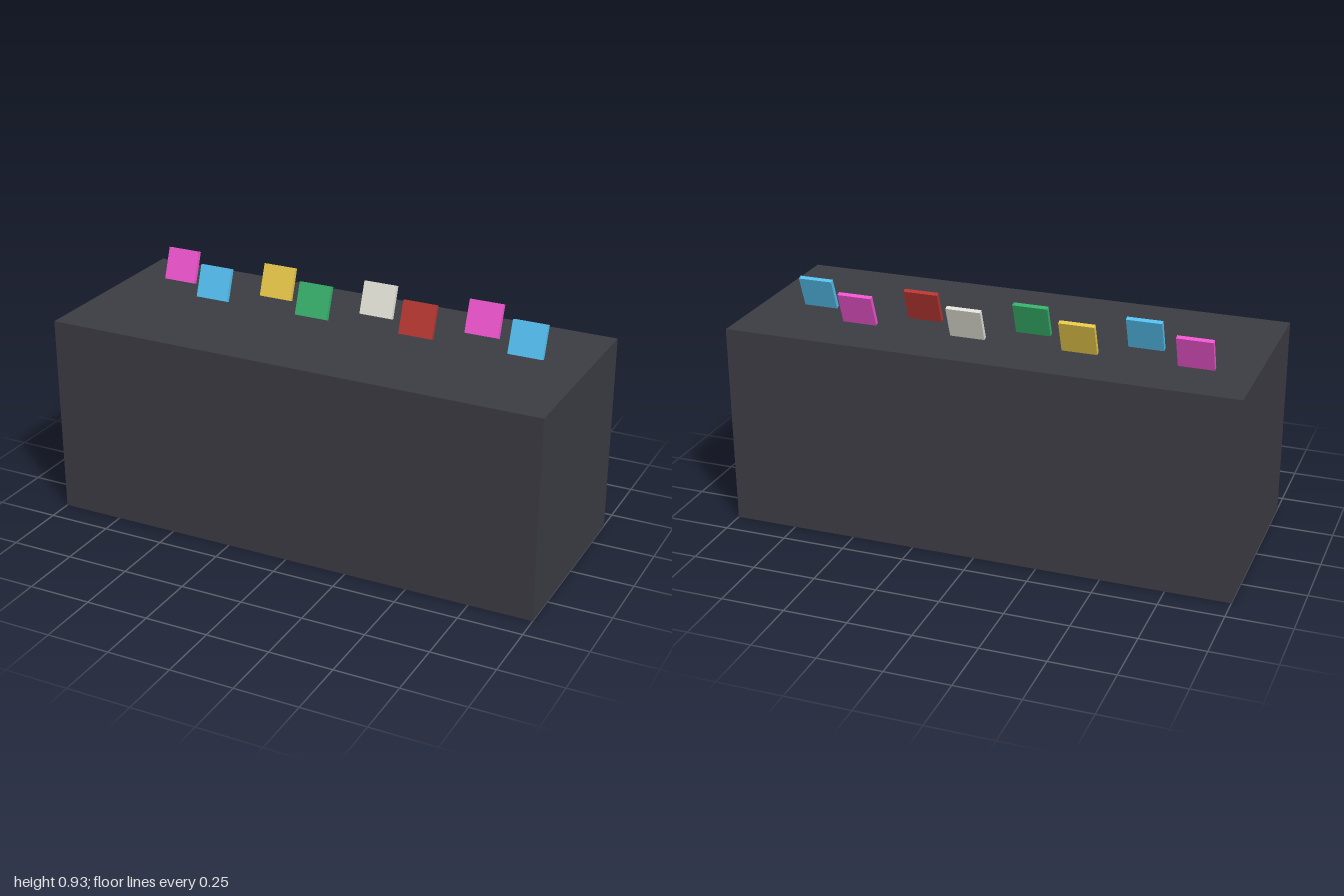
import * as THREE from 'three';

export function createModel() {
  const model = new THREE.Group();
  model.name = 'blockWithCards';

  const addBox = (parent, name, color, w, h, d) => {
    const mesh = new THREE.Mesh(
      new THREE.BoxGeometry(w, h, d),
      new THREE.MeshStandardMaterial({ color })
    );
    mesh.name = name;
    parent.add(mesh);
    return mesh;
  };

  // Solid dark counter
  addBox(model, 'counter', 0x3c3c44, 2, 0.8, 0.8).position.y = 0.4;

  // Coloured cards, leaning back in two staggered rows
  const pink = 0xf055d0, blue = 0x55c0f0, yellow = 0xe8c84a;
  const green = 0x38b06c, white = 0xe2e2d8, red = 0xb83832;
  const cards = new THREE.Group();
  cards.name = 'cards';
  model.add(cards);
  [pink, blue, yellow, green, white, red, pink, blue].forEach((color, i) => {
    const card = addBox(cards, `card${i + 1}`, color, 0.137, 0.13, 0.018);
    card.position.set(-0.78 + i * 0.22, 0.87, i % 2 ? -0.08 : -0.2);
    card.rotation.x = -0.35;
  });

  return model;
}
